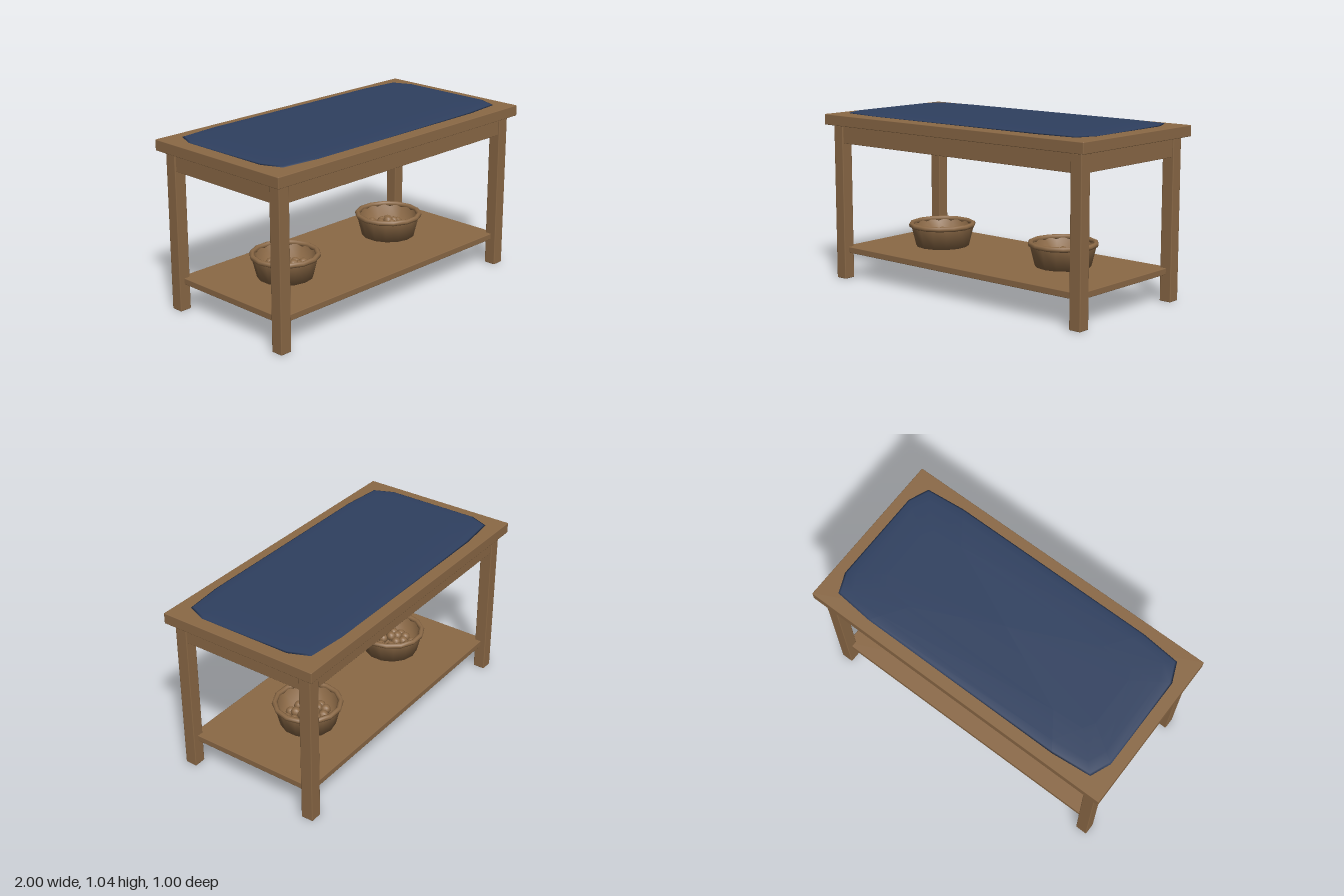
import * as THREE from 'three';
import { RoundedBoxGeometry } from 'three/addons/geometries/RoundedBoxGeometry.js';

const wood = new THREE.MeshStandardMaterial({ color: 0x8b6946 });
wood.name = 'wood';
const fabric = new THREE.MeshStandardMaterial({ color: 0x2f4060 });
fabric.name = 'blue fabric';

function add(parent, name, geometry, material, x = 0, y = 0, z = 0) {
  const mesh = new THREE.Mesh(geometry, material);
  mesh.name = name;
  mesh.position.set(x, y, z);
  parent.add(mesh);
  return mesh;
}

// Softly bevelled board given by its size and centre
function board(parent, name, w, h, d, x, y, z, bevel = 0.005) {
  return add(parent, name, new RoundedBoxGeometry(w, h, d, 1, bevel), wood, x, y, z);
}

// Thin pad with clipped corners, lofted from scaled copies of one outline
function padGeometry() {
  const corner = [[0.93, 0.29], [0.88, 0.41], [0.64, 0.433]];
  const flip = (sx, sz) => corner.map(([x, z]) => [x * sx, z * sz]);
  const outline = [
    ...flip(1, 1), ...flip(-1, 1).reverse(),
    ...flip(-1, -1), ...flip(1, -1).reverse(),
  ];
  const n = outline.length;
  const rings = [[0, 1.026], [0.03, 1.026], [0.01, 1.029], [0, 1.032], [0.01, 1.036], [0.06, 1.04], [0.2, 1.041]];
  const pos = [], index = [];
  rings.forEach(([inset, y], k) => {
    const sx = k === 0 ? 0 : 1 - inset / 0.93;
    const sz = k === 0 ? 0 : 1 - inset / 0.433;
    for (const [x, z] of outline) pos.push(x * sx, y, z * sz);
  });
  for (let k = 0; k < rings.length - 1; k++) {
    for (let i = 0; i < n; i++) {
      const j = (i + 1) % n, a = k * n + i, b = k * n + j, c = a + n, d = b + n;
      if (k > 0) index.push(a, c, b);
      index.push(b, c, d);
    }
  }
  // Close the top with a fan
  const centre = pos.length / 3, last = (rings.length - 1) * n;
  pos.push(0, 1.041, 0);
  for (let i = 0; i < n; i++) index.push(last + i, centre, last + (i + 1) % n);
  const geometry = new THREE.BufferGeometry();
  geometry.setAttribute('position', new THREE.Float32BufferAttribute(pos, 3));
  geometry.setIndex(index);
  geometry.computeVertexNormals();
  return geometry;
}

// Open bowl with a rolled rim and a heap of small balls
function basket(name, x, z, turn) {
  const group = new THREE.Group();
  group.name = name;
  group.position.set(x, 0.2, z);
  group.rotation.y = turn;
  const wall = [[0.001, 0.001], [0.165, 0.001], [0.197, 0.13], [0.18, 0.13], [0.15, 0.015], [0.001, 0.015]];
  const bowl = new THREE.LatheGeometry(wall.map(([r, y]) => new THREE.Vector2(r, y)), 14);
  add(group, 'basketBowl', bowl, wood);
  const rim = new THREE.TorusGeometry(0.193, 0.016, 8, 14).rotateX(Math.PI / 2);
  add(group, 'basketRim', rim, wood, 0, 0.133, 0);
  const ball = new THREE.SphereGeometry(0.03, 10, 8);
  const count = 22;
  for (let i = 0; i < count; i++) {
    const r = 0.135 * Math.sqrt(i / count), a = i * 2.4;
    add(group, 'ball', ball, wood, r * Math.cos(a), 0.085 - r * 0.3 - (i % 3) * 0.006, r * Math.sin(a));
  }
  return group;
}

export function createModel() {
  const model = new THREE.Group();
  model.name = 'paddedTable';

  // Table top and pad
  board(model, 'tableTop', 2, 0.065, 1, 0, 0.9925, 0, 0.004);
  add(model, 'pad', padGeometry(), fabric);

  // Legs
  for (const sx of [-1, 1]) {
    for (const sz of [-1, 1]) {
      board(model, 'leg', 0.075, 0.956, 0.075, sx * 0.9225, 0.478, sz * 0.4225);
    }
  }

  // Aprons set just inside the outer faces of the legs
  for (const s of [-1, 1]) {
    board(model, 'longApron', 1.8, 0.108, 0.03, 0, 0.902, s * 0.435, 0.003);
    board(model, 'shortApron', 0.03, 0.108, 0.8, s * 0.935, 0.902, 0, 0.003);
  }

  // Lower shelf with two baskets
  board(model, 'shelf', 1.85, 0.038, 0.85, 0, 0.18, 0, 0.004);
  model.add(basket('rightBasket', -0.49, 0, 0));
  model.add(basket('leftBasket', 0.44, -0.043, 0.9));

  return model;
}
